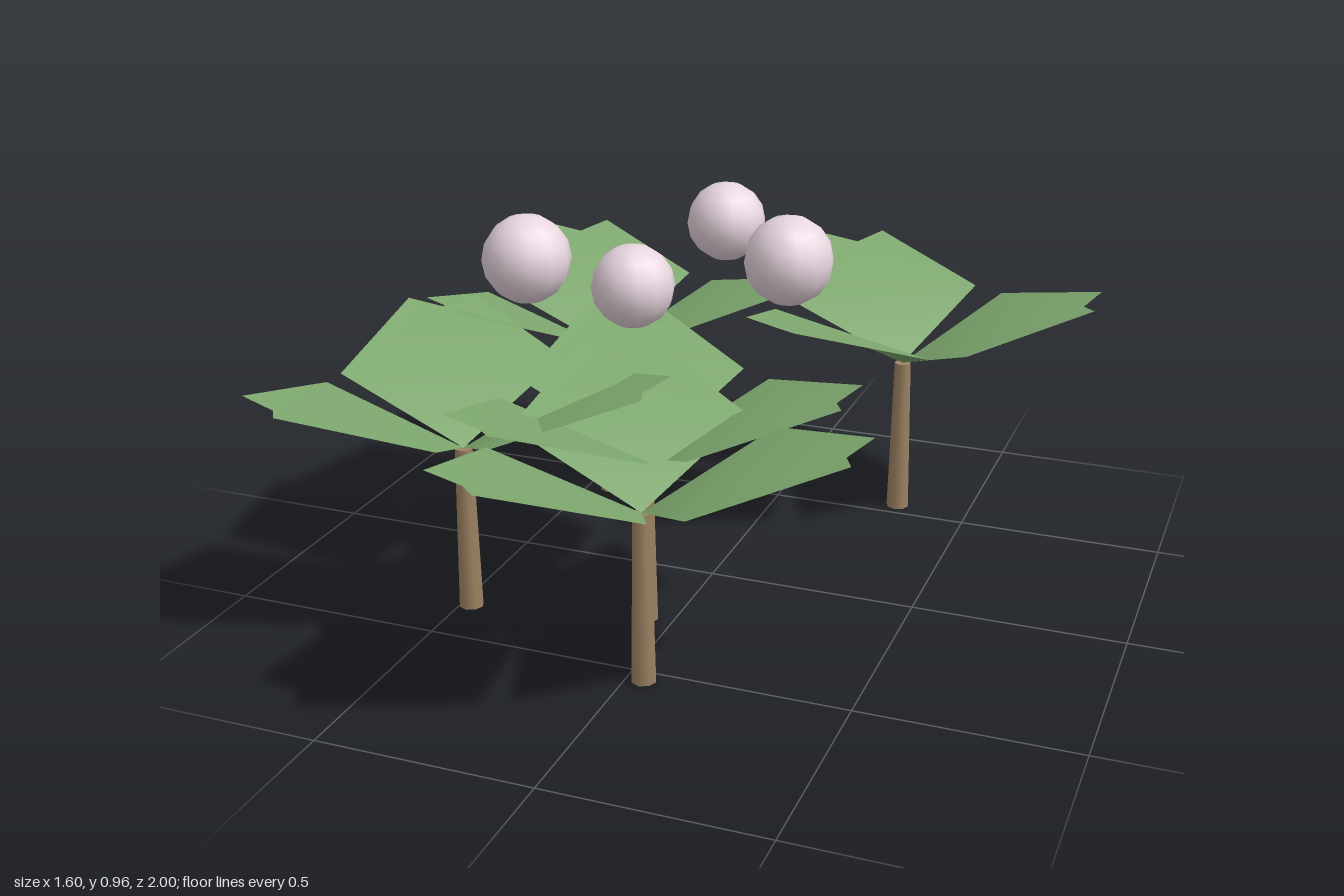
import * as THREE from 'three';

const leafMat = new THREE.MeshStandardMaterial({ color: 0x7fa96f, side: THREE.DoubleSide });
const stemMat = new THREE.MeshStandardMaterial({ color: 0x9c8262 });
const flowerMat = new THREE.MeshStandardMaterial({ color: 0xe8d6e0 });

const STEM_HEIGHT = 0.4;

// Plant position (x, z) and the heading of each leaf, in degrees from +x towards +z
const plants = [
  { x: 0.315, z: -0.55, leaves: [-3, -122, 117] },
  { x: -0.435, z: -0.385, leaves: [-4, -123, 123] },
  { x: -0.475, z: 0.35, leaves: [1, -123, 123] },
  { x: 0.04, z: 0.535, leaves: [1, -119, 117] },
  { x: -0.065, z: 0.265, leaves: [0, -119, 117] },
];

// Flower heads floating above the leaves
const flowers = [
  [-0.32, 0.853, 0.305],
  [0.23, 0.862, 0.145],
  [-0.19, 0.72, 0.02],
  [-0.12, 0.767, -0.42],
];

// Heart-shaped leaf along +x: it rises from the stem, then flattens to a notched end
function leafGeometry() {
  const points = [
    [0, 0, 0],
    [0.205, 0.127, -0.26], [0.205, 0.127, 0.26],
    [0.48, 0.212, -0.08], [0.446, 0.195, 0], [0.48, 0.212, 0.08],
  ];
  const geometry = new THREE.BufferGeometry();
  geometry.setAttribute('position', new THREE.Float32BufferAttribute(points.flat(), 3));
  geometry.setIndex([0, 2, 1, 1, 2, 4, 1, 4, 3, 2, 5, 4]);
  geometry.computeVertexNormals();
  return geometry;
}

export function createModel() {
  const model = new THREE.Group();
  model.name = 'cloverPatch';

  const leafGeo = leafGeometry();
  const stemGeo = new THREE.CylinderGeometry(0.021, 0.029, STEM_HEIGHT, 8);
  const flowerGeo = new THREE.SphereGeometry(0.099, 12, 8);

  // Clovers: one tapered stem with three leaves each
  for (const { x, z, leaves } of plants) {
    const clover = new THREE.Group();
    clover.name = 'clover';
    clover.position.set(x, 0, z);

    const stem = new THREE.Mesh(stemGeo, stemMat);
    stem.name = 'stem';
    stem.position.y = STEM_HEIGHT / 2;
    clover.add(stem);

    for (const heading of leaves) {
      const leaf = new THREE.Mesh(leafGeo, leafMat);
      leaf.name = 'leaf';
      leaf.position.y = STEM_HEIGHT;
      leaf.rotation.y = -THREE.MathUtils.degToRad(heading);
      clover.add(leaf);
    }
    model.add(clover);
  }

  // Round flower heads
  for (const position of flowers) {
    const flower = new THREE.Mesh(flowerGeo, flowerMat);
    flower.name = 'flowerHead';
    flower.position.set(...position);
    model.add(flower);
  }

  return model;
}
